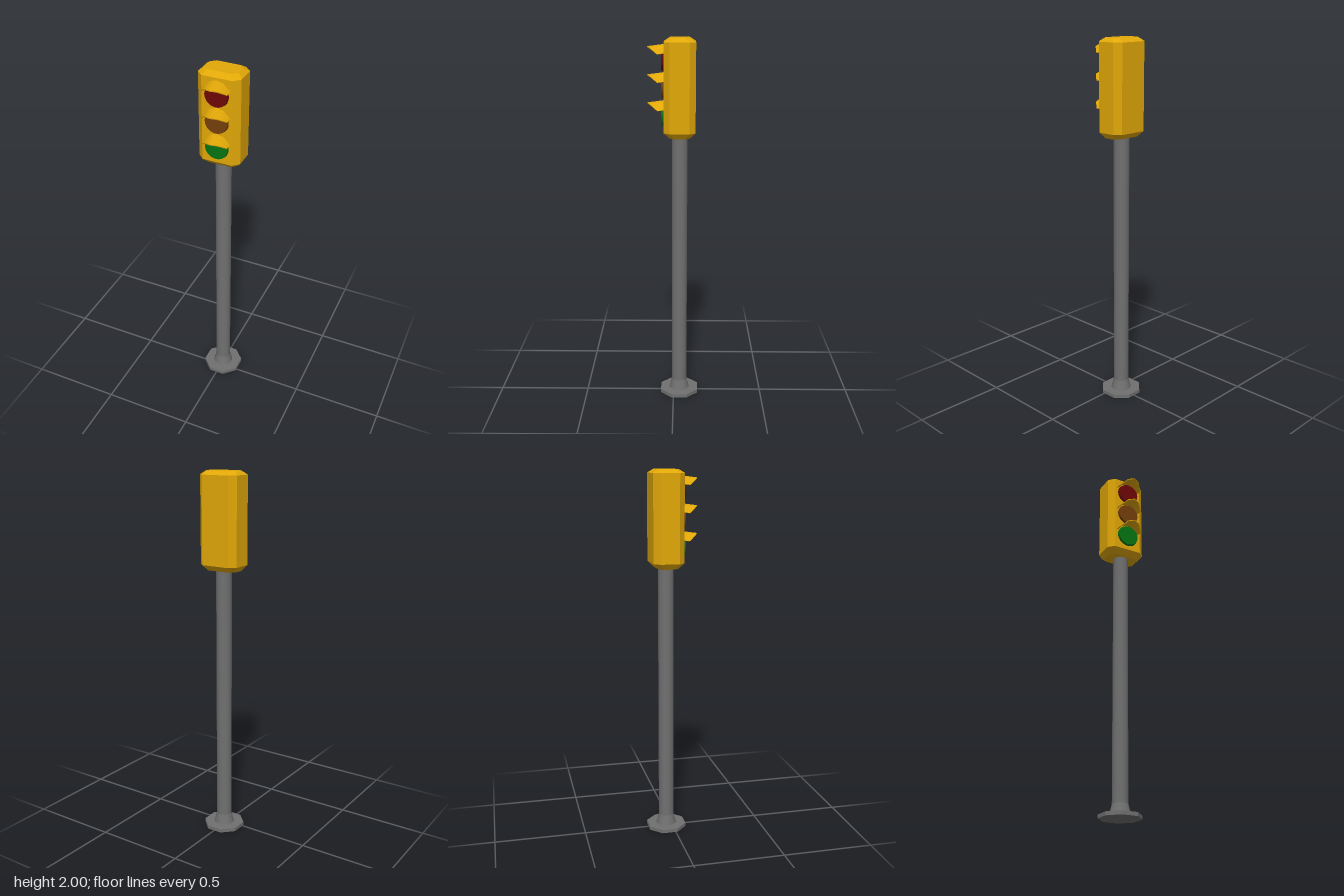
import * as THREE from 'three';
import { toCreasedNormals } from 'three/addons/utils/BufferGeometryUtils.js';

const CZ = -0.033; // axis of pole and housing

function paint(name, color) {
  const m = new THREE.MeshStandardMaterial({ color });
  m.name = name;
  return m;
}

// Skins a list of equal-length closed rings and caps both ends
function loft(rings, crease) {
  const n = rings[0].length, pos = rings.flat(2), idx = [];
  for (let r = 0; r < rings.length - 1; r++) {
    for (let i = 0; i < n; i++) {
      const a = r * n + i, b = r * n + (i + 1) % n;
      idx.push(a, a + n, b, b, a + n, b + n);
    }
  }
  const last = (rings.length - 1) * n;
  for (let i = 1; i < n - 1; i++) {
    idx.push(0, i, i + 1, last, last + i + 1, last + i);
  }
  const g = new THREE.BufferGeometry();
  g.setAttribute('position', new THREE.Float32BufferAttribute(pos, 3));
  g.setIndex(idx);
  return toCreasedNormals(g, crease);
}

// Rectangle with cut corners at height y
function cutRect(y, w, d, c) {
  return [[w, d - c], [w - c, d], [c - w, d], [-w, d - c], [-w, c - d], [c - w, -d], [w - c, -d], [w, c - d]]
    .map(([x, z]) => [x, y, z]);
}

// Curved visor: thin arc, dipping forward, whose front edge comes to a blunt point
function visorGeometry() {
  const R = 0.076, r = 0.071, back = 0.045, slope = 0.13;
  const stations = [[25, 0.083], [62, 0.122], [90, 0.137], [118, 0.122], [155, 0.083]];
  return loft(stations.map(([deg, front]) => {
    const a = THREE.MathUtils.degToRad(deg), c = Math.cos(a), s = Math.sin(a);
    const dip = slope * (front - back);
    return [[R * c, R * s, back], [R * c, R * s - dip, front], [r * c, r * s - dip, front], [r * c, r * s, back]];
  }), 0.7);
}

export function createModel() {
  const model = new THREE.Group();
  model.name = 'trafficLight';
  const yellow = paint('housing yellow', 0xe2a808);
  const grey = paint('pole grey', 0x707070);
  const lamps = [
    ['red', 1.892, paint('lamp red', 0x6e0606)],
    ['amber', 1.749, paint('lamp amber', 0x743f0c)],
    ['green', 1.604, paint('lamp green', 0x067412)],
  ];

  function add(name, geometry, material, x, y, z, parent = model) {
    const mesh = new THREE.Mesh(geometry, material);
    mesh.name = name;
    mesh.position.set(x, y, z);
    parent.add(mesh);
  }

  // Eight-sided foot plate with a flat side to the front
  const foot = new THREE.CylinderGeometry(0.113, 0.113, 0.02, 8);
  foot.rotateY(Math.PI / 8);
  add('footPlate', toCreasedNormals(foot, 0.5), grey, 0, 0.01, CZ);

  // Flared collar and straight pole
  add('collar', new THREE.CylinderGeometry(0.042, 0.056, 0.055, 24, 1, true), grey, 0, 0.0475, CZ);
  add('pole', new THREE.CylinderGeometry(0.042, 0.042, 1.43, 24), grey, 0, 0.785, CZ);

  // Housing with cut corners and bevelled ends
  const housing = loft([
    cutRect(1.487, 0.09, 0.053, 0.026),
    cutRect(1.517, 0.113, 0.083, 0.032),
    cutRect(1.98, 0.113, 0.083, 0.032),
    cutRect(2.0, 0.09, 0.053, 0.026),
  ], 0.2);
  add('housing', housing, yellow, 0, 0, CZ);

  // Three lamps, each under its visor
  const lens = new THREE.CylinderGeometry(0.06, 0.065, 0.022, 24);
  lens.rotateX(Math.PI / 2);
  const lensGeometry = toCreasedNormals(lens, 0.5);
  const visor = visorGeometry();
  for (const [name, y, material] of lamps) {
    const lamp = new THREE.Group();
    lamp.name = name + 'Lamp';
    lamp.position.y = y;
    model.add(lamp);
    add(name + 'Lens', lensGeometry, material, 0, 0, 0.052, lamp);
    add(name + 'Visor', visor, yellow, 0, 0, 0, lamp);
  }
  return model;
}
